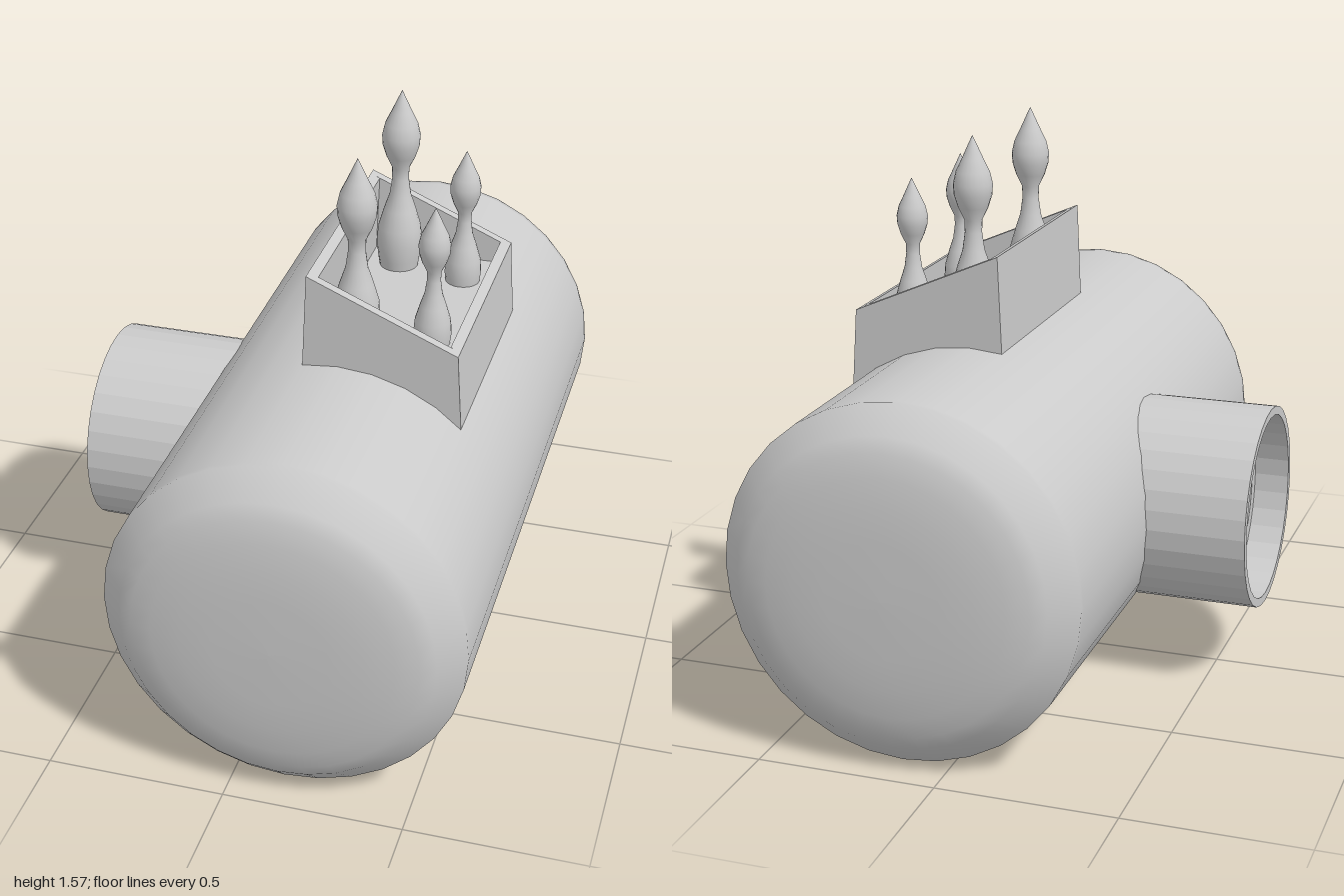
import * as THREE from 'three';

const smooth = new THREE.MeshStandardMaterial({ color: 0xcccccc, side: THREE.DoubleSide });
const flat = new THREE.MeshStandardMaterial({ color: 0xcccccc, flatShading: true, side: THREE.DoubleSide });

const CX = 0.137; // axis of the tank

function lathe(name, profile, segments, material) {
  const points = profile.map(([r, y]) => new THREE.Vector2(r, y));
  const mesh = new THREE.Mesh(new THREE.LatheGeometry(points, segments), material);
  mesh.name = name;
  return mesh;
}

// Plate with an outline in x/y, running from z0 to z1
function plate(name, outline, z0, z1) {
  const shape = new THREE.Shape(outline.map(([x, y]) => new THREE.Vector2(x, y)));
  const geometry = new THREE.ExtrudeGeometry(shape, { depth: z1 - z0, bevelEnabled: false });
  const mesh = new THREE.Mesh(geometry, flat);
  mesh.position.z = z0;
  mesh.name = name;
  return mesh;
}

export function createModel() {
  const model = new THREE.Group();
  model.name = 'tankWithSpindles';

  // Tank: long drum with softly domed, chamfered ends
  const end = [[0.498, 0.86], [0.498, 0.877], [0.43, 0.945], [0.39, 0.966], [0.33, 0.982], [0.25, 0.992], [0.16, 0.998], [0, 1]];
  const front = end.map(([r, z]) => [r, z]);
  const back = end.map(([r, z]) => [r, -z]).reverse();
  const tank = lathe('tank', [...back, ...front], 32, smooth);
  tank.rotation.x = Math.PI / 2;
  tank.position.set(CX, 0.502, 0);
  model.add(tank);

  // Side pipe: hollow mouth with stepped rings inside
  const pipe = lathe('sidePipe', [
    [0.29, -0.4], [0.29, 0.64], [0.265, 0.64], [0.265, 0.54],
    [0.225, 0.54], [0.225, 0.5], [0.185, 0.5], [0.185, 0.46],
    [0.145, 0.46], [0.145, 0.42], [0, 0.42],
  ], 32, flat);
  pipe.rotation.z = Math.PI / 2;
  pipe.position.y = 0.502;
  model.add(pipe);

  // Open tray with a sloping rim, sunk into the tank
  const tray = new THREE.Group();
  tray.name = 'tray';
  const half = 0.353, wall = 0.028;
  const side = [[0.037, 0.95], [0.485, 0.855], [0.47, 1.08], [0.05, 1.262]];
  tray.add(plate('trayFront', side, half - wall, half));
  tray.add(plate('trayBack', side, -half, -half + wall));
  tray.add(plate('trayHighWall', [[0.037, 0.95], [0.067, 0.95], [0.077, 1.25], [0.05, 1.262]], -half + wall, half - wall));
  tray.add(plate('trayLowWall', [[0.457, 0.86], [0.485, 0.855], [0.47, 1.08], [0.443, 1.092]], -half + wall, half - wall));
  tray.add(plate('trayFloor', [[0.05, 0.98], [0.46, 0.98], [0.46, 1.025], [0.05, 1.025]], -half + wall, half - wall));
  model.add(tray);

  // Turned spindles: heights are measured down from the tip
  const spindle = [
    [0.05, -0.58], [0.06, -0.52], [0.066, -0.47], [0.062, -0.42], [0.046, -0.365],
    [0.031, -0.32], [0.024, -0.27], [0.025, -0.235], [0.042, -0.2], [0.053, -0.165],
    [0.055, -0.135], [0.047, -0.1], [0.03, -0.065], [0.014, -0.03], [0, 0],
  ];
  for (const sign of [1, -1]) {
    for (const [name, x, tip, z, scale] of [['tallSpindle', 0.16, 1.57, 0.24, 1], ['shortSpindle', 0.362, 1.43, 0.19, 0.8]]) {
      const mesh = lathe(name, spindle, 20, smooth);
      mesh.scale.setScalar(scale);
      mesh.position.set(x, tip, sign * z);
      model.add(mesh);
    }
  }
  return model;
}
